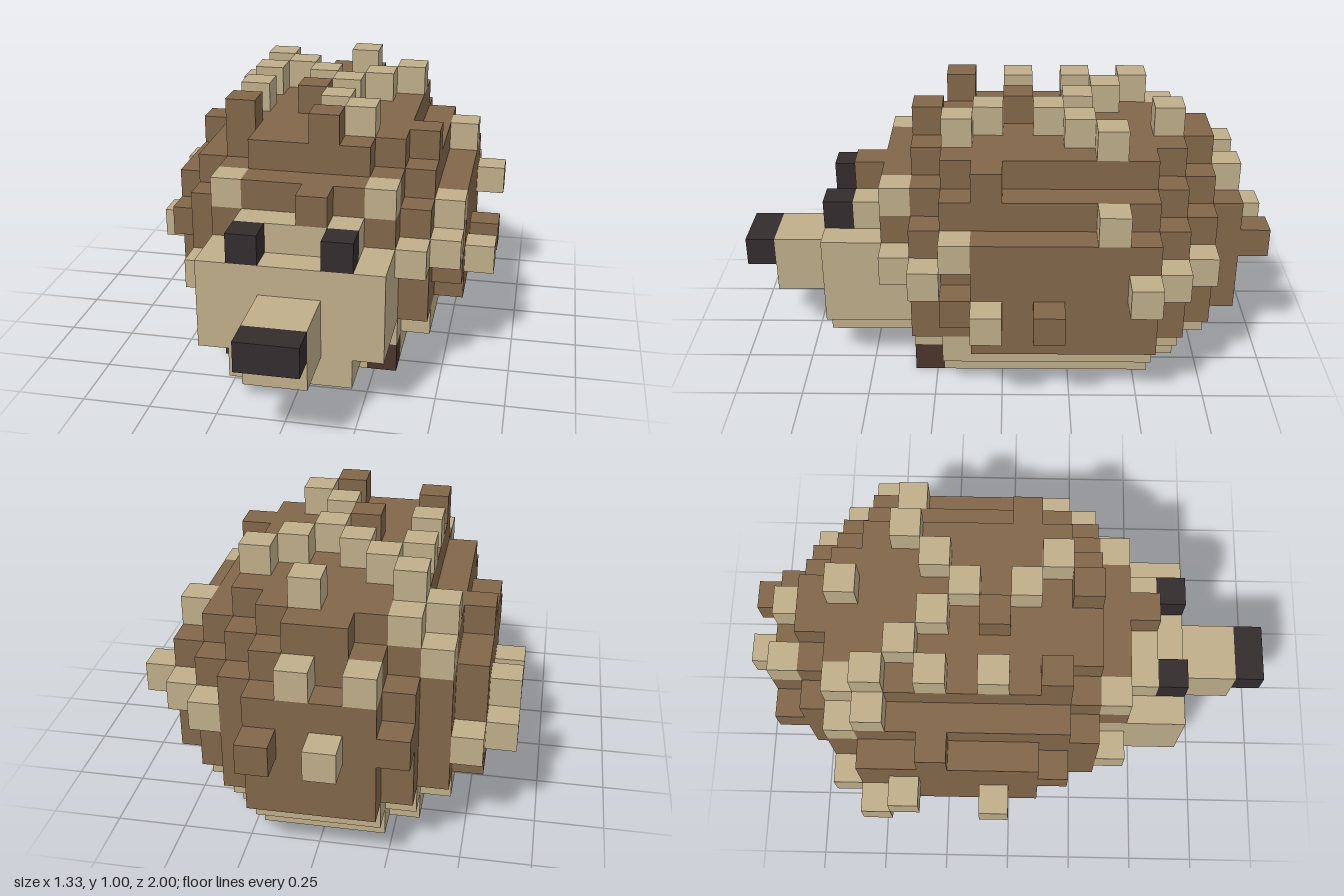
import * as THREE from 'three';

const U = 1 / 9; // one block
const flat = (name, color) => {
  const m = new THREE.MeshStandardMaterial({ color });
  m.name = name;
  return m;
};

export function createModel() {
  const model = new THREE.Group();
  model.name = 'hedgehog';
  const brown = flat('brown', 0x82674a);
  const beige = flat('beige', 0xbfae89);
  const black = flat('black', 0x342c2e);
  const darkBrown = flat('darkBrown', 0x4a342c);

  // box from block coordinates
  const box = (parent, name, mat, x0, x1, y0, y1, z0, z1) => {
    const g = new THREE.BoxGeometry((x1 - x0) * U, (y1 - y0) * U, (z1 - z0) * U);
    const mesh = new THREE.Mesh(g, mat);
    mesh.position.set((x0 + x1) * U / 2, (y0 + y1) * U / 2, (z0 + z1) * U / 2);
    mesh.name = name;
    parent.add(mesh);
  };

  // stepped layer: strips [halfWidth, zBack, zFront] from the middle outwards
  const layer = (name, mat, y0, y1, strips) => {
    const g = new THREE.Group();
    g.name = name;
    let inner = 0;
    for (const [half, z0, z1] of strips) {
      if (inner === 0) box(g, name + 'Middle', mat, -half, half, y0, y1, z0, z1);
      else {
        box(g, name + 'Left', mat, inner, half, y0, y1, z0, z1);
        box(g, name + 'Right', mat, -half, -inner, y0, y1, z0, z1);
      }
      inner = half;
    }
    model.add(g);
  };

  // belly
  layer('bellyBottom', beige, 0, 1, [[2, -6, 3], [3, -5, 2]]);
  layer('bellyTop', beige, 1, 2, [[2, -7, 6], [3, -6, 3], [4, -5, 2]]);

  // brown coat
  layer('coatSides', brown, 2, 6, [[2, -8, 3], [3, -7, 3], [4, -6, 3], [5, -5, 1]]);
  layer('coatShoulder', brown, 6, 7, [[2, -7, 4], [3, -6, 3], [4, -5, 2]]);
  layer('coatTop', brown, 7, 8, [[1, -7, 3], [2, -6, 3], [3, -5, 2]]);

  // head
  box(model, 'head', beige, -3, 3, 2, 5, 3, 6);
  box(model, 'forehead', beige, -2, 2, 5, 6, 3, 5);
  box(model, 'snout', beige, -1, 1, 2, 4, 6, 8);
  box(model, 'nose', black, -1, 1, 3, 4, 8, 9);

  // mirrored face and feet
  for (const x of [-1, 1]) {
    const pair = (name, mat, a, b, ...rest) =>
      box(model, name, mat, Math.min(a * x, b * x), Math.max(a * x, b * x), ...rest);
    pair('eye', black, 1, 2, 5, 6, 5, 6);
    pair('foot', darkBrown, 2, 3, 0, 1, 2, 3);
    pair('cheekFur', brown, 2, 3, 5, 6, 3, 4);
  }

  // single-block quills, given by their lower corner
  const quills = (name, mat, cells) => {
    const g = new THREE.Group();
    g.name = name;
    for (const [x, y, z] of cells) box(g, 'quill', mat, x, x + 1, y, y + 1, z, z + 1);
    model.add(g);
  };
  quills('lightTopQuills', beige, [
    [0, 8, -6], [-3, 8, -5], [-2, 8, -4], [2, 8, -4], [-3, 8, -3], [-1, 8, -3],
    [1, 8, -3], [0, 8, -2], [-3, 8, -1], [0, 8, 0], [1, 8, 1]]);
  quills('lightSideQuills', beige, [
    [3, 4, 3], [4, 4, 2], [4, 5, 1], [5, 3, 0], [4, 6, -4], [5, 4, -5], [4, 4, -6], [3, 4, -7],
    [-4, 3, 3], [-6, 3, -1], [-6, 4, -4], [-6, 3, -5], [-5, 3, -6],
    [-4, 7, -5], [-4, 6, -6], [-3, 7, -6], [-3, 6, 3], [2, 6, 3]]);
  quills('lightBackQuills', beige, [[0, 6, -8], [-2, 6, -8], [-1, 4, -9]]);
  quills('darkQuills', brown, [
    [0, 8, 2], [-1, 8, -1], [-3, 8, 1], [0, 6, 4], [3, 7, 0], [5, 3, -2], [4, 3, 1],
    [-5, 4, 1], [-5, 6, -3], [1, 4, -9], [-3, 4, -8]]);

  return model;
}
